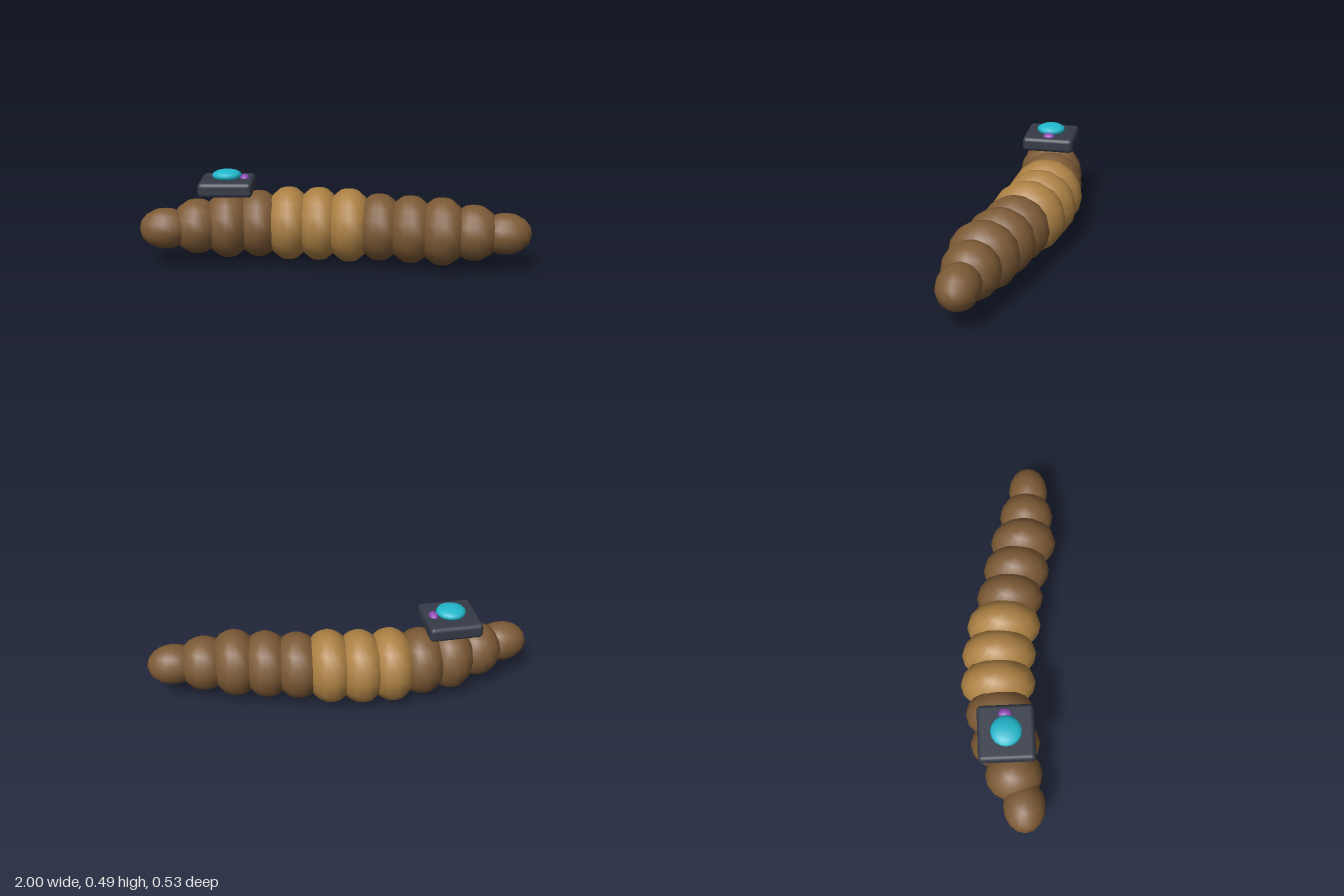
import * as THREE from 'three';
import { RoundedBoxGeometry } from 'three/addons/geometries/RoundedBoxGeometry.js';

const material = (name, color) => {
  const m = new THREE.MeshStandardMaterial({ color });
  m.name = name;
  return m;
};

export function createModel() {
  const group = new THREE.Group();
  const brown = material('earthBrown', 0x7d5a36);
  const ochre = material('ochre', 0xad8144);
  const slate = material('slate', 0x353b48);
  const teal = material('teal', 0x22b8cc);
  const purple = material('purple', 0x8e4bb5);

  const ball = new THREE.SphereGeometry(1, 16, 8);
  const add = (name, geometry, mat, position, scale = [1, 1, 1]) => {
    const mesh = new THREE.Mesh(geometry, mat);
    mesh.name = name;
    mesh.position.set(...position);
    mesh.scale.set(...scale);
    group.add(mesh);
    return mesh;
  };

  // Body: a curved row of overlapping rings, tapered at both ends
  const count = 12;
  const spacing = 0.1575;
  const curve = [0.03, -0.015, -0.05, -0.071, -0.075, -0.064, -0.033, 0.005, 0.046, 0.09, 0.114, 0.132];
  for (let i = 0; i < count; i++) {
    const fromEnd = Math.min(i, count - 1 - i);
    const banded = i >= 4 && i <= 6;
    const r = banded ? 0.193 : [0.105, 0.143][fromEnd] ?? 0.175;
    add(banded ? 'saddleRing' : 'bodyRing', ball, banded ? ochre : brown,
      [(i - (count - 1) / 2) * spacing, 0.195, curve[i]], [0.134, r, r]);
  }

  // Device carried on the back
  add('deviceCase', new RoundedBoxGeometry(0.276, 0.077, 0.278, 2, 0.022), slate, [-0.552, 0.404, -0.046]);
  add('deviceDome', ball, teal, [-0.552, 0.458, -0.046], [0.077, 0.03, 0.077]);
  add('deviceButton', ball, purple, [-0.461, 0.442, -0.048], [0.025, 0.02, 0.033]);

  return group;
}
